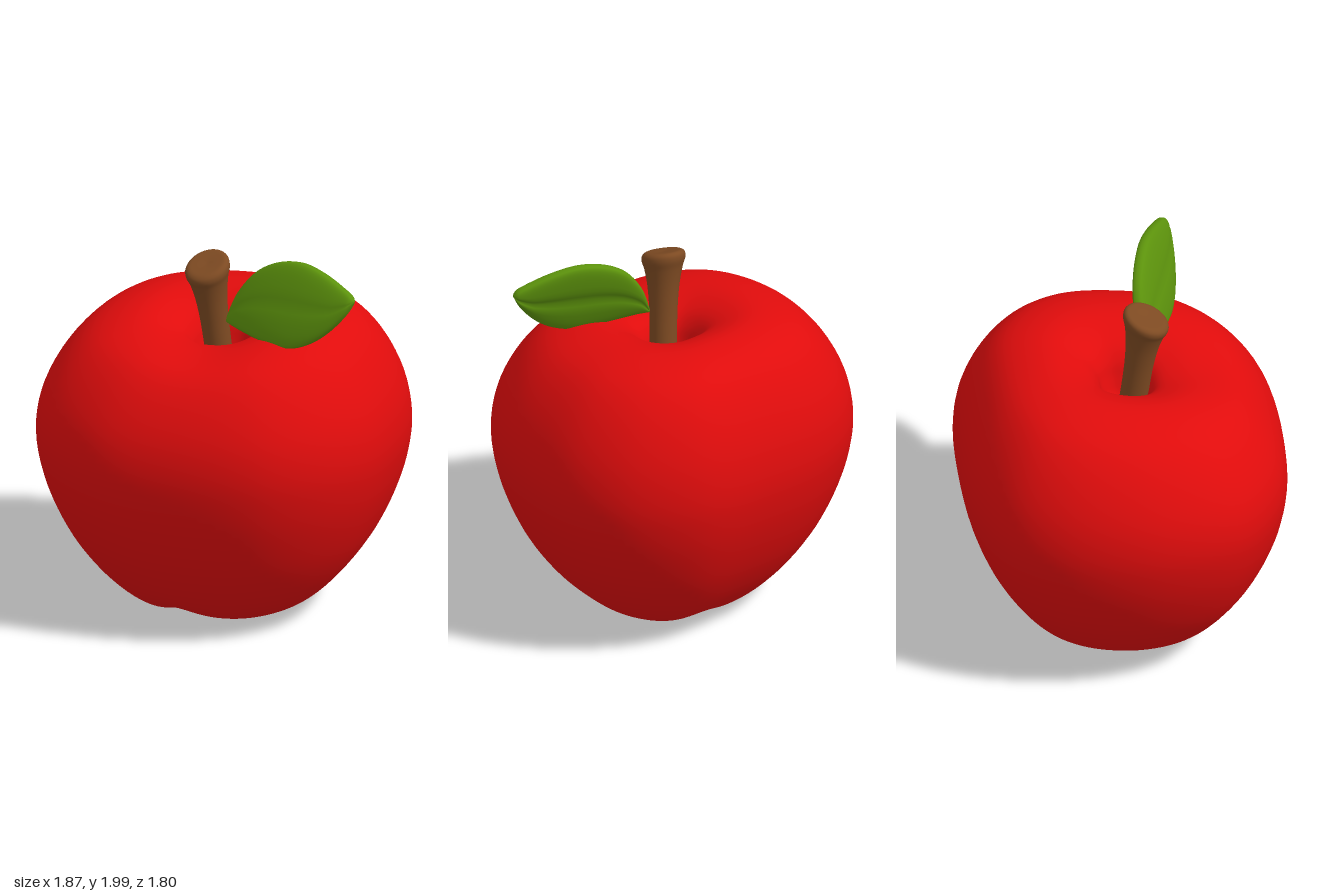
import * as THREE from 'three';
import { mergeVertices } from 'three/addons/utils/BufferGeometryUtils.js';

const red = new THREE.MeshStandardMaterial({ name: 'apple red', color: 0xe00c0c });
const brown = new THREE.MeshStandardMaterial({ name: 'stem brown', color: 0x7d4a22 });
const green = new THREE.MeshStandardMaterial({ name: 'leaf green', color: 0x5c920c });

// Smooth skin over closed cross-sections: point(u, v) with v running round the loop
function loft(rows, cols, point) {
  const pos = [], index = [];
  for (let i = 0; i <= rows; i++) {
    for (let j = 0; j < cols; j++) pos.push(...point(i / rows, j / cols));
  }
  for (let i = 0; i < rows; i++) {
    for (let j = 0; j < cols; j++) {
      const a = i * cols + j, b = i * cols + (j + 1) % cols;
      index.push(a, a + cols, b, b, a + cols, b + cols);
    }
  }
  const geo = new THREE.BufferGeometry();
  geo.setAttribute('position', new THREE.Float32BufferAttribute(pos, 3));
  geo.setIndex(index);
  const merged = mergeVertices(geo, 1e-5);
  merged.computeVertexNormals();
  return merged;
}

const spline = (pts, closed = false) => new THREE.CatmullRomCurve3(
  pts.map(([x, y, z = 0]) => new THREE.Vector3(x, y, z)), closed);

// Fruit: a lopsided outline scaled up a profile, then tilted and dented
function bodyGeometry() {
  const outline = spline([
    [0.93, 0, 0.04], [0.85, 0, 0.35], [0.65, 0, 0.605], [0.22, 0, 0.815], [-0.2, 0, 0.9],
    [-0.6, 0, 0.77], [-0.85, 0, 0.43], [-0.935, 0, -0.02], [-0.85, 0, -0.36], [-0.6, 0, -0.62],
    [-0.2, 0, -0.81], [0.17, 0, -0.9], [0.51, 0, -0.81], [0.75, 0, -0.59], [0.88, 0, -0.28],
  ], true);
  const profile = spline([
    [0, 0.022], [0.1, 0.014], [0.22, 0.008], [0.34, 0.032], [0.46, 0.09], [0.59, 0.2],
    [0.74, 0.4], [0.84, 0.6], [0.905, 0.8], [0.93, 1], [0.896, 1.2], [0.793, 1.4],
    [0.67, 1.53], [0.53, 1.595], [0.39, 1.615], [0.28, 1.59], [0.2, 1.545], [0.15, 1.48],
    [0.12, 1.4], [0.08, 1.32], [0, 1.29],
  ]);
  return loft(90, 96, (u, v) => {
    const p = profile.getPoint(u), o = outline.getPoint(v);
    const f = p.x / 0.93, x = o.x * f, z = o.z * f;
    const top = THREE.MathUtils.smoothstep(p.y, 0.9, 1.6);
    const low = 1 - THREE.MathUtils.smoothstep(p.y, 0, 0.2);
    const dip = 0.07 * Math.exp(-(((x - 0.1) / 0.3) ** 2) - ((z - 0.33) / 0.28) ** 2);
    const notch = 0.035 * Math.exp(-((x / 0.1) ** 2));
    const hollow = 0.035 * top * Math.exp(-((p.x / 0.22) ** 2));
    return [x, Math.max(0, p.y - top * (0.06 * z + dip) + low * notch),
      z * (1 + 0.04 * low) + hollow];
  });
}

// Stem: flared rod leaning forward, with a slanted, rounded end
function stemGeometry() {
  const radius = spline([
    [0.07, 1.25], [0.07, 1.5], [0.073, 1.62], [0.083, 1.74], [0.099, 1.83], [0.112, 1.875],
    [0.109, 1.9], [0.094, 1.914], [0.06, 1.916], [0, 1.912],
  ]);
  return loft(54, 32, (u, v) => {
    const { x: r, y } = radius.getPoint(u);
    const a = v * Math.PI * 2, h = (y - 1.3) / 0.62;
    const dx = Math.cos(a) * r, dz = Math.sin(a) * r * 1.04;
    return [0.022 - 0.032 * h + dx, y - 0.4 * h * h * dz, 0.06 + 0.085 * h + dz];
  });
}

// Leaf: plump blade between an upper and a lower edge, creased along the midrib
function leafGeometry() {
  const upper = spline([
    [0.08, 1.61], [0.14, 1.77], [0.24, 1.9], [0.36, 1.97], [0.5, 1.998], [0.64, 1.977],
    [0.76, 1.937], [0.83, 1.905], [0.85, 1.88],
  ]);
  const lower = spline([
    [0.08, 1.6], [0.14, 1.595], [0.25, 1.58], [0.37, 1.568], [0.5, 1.568], [0.62, 1.613],
    [0.72, 1.69], [0.81, 1.8], [0.85, 1.875],
  ]);
  return loft(48, 40, (u, v) => {
    const a = v * Math.PI * 2, s = -Math.cos(a), side = Math.sin(a);
    const p = lower.getPoint(u).lerp(upper.getPoint(u), (s + 1) / 2);
    const crease = 1 - (side > 0 ? 0.12 : 0.35) * Math.exp(-((s / 0.15) ** 2));
    const taper = Math.pow(Math.max(0, Math.sin(Math.PI * u)), 0.5);
    const t = 0.048 * taper * crease * Math.sign(side) * Math.pow(Math.abs(side), 0.6);
    const z = 0.15 - 0.32 * (p.y - 1.6) - 0.03 * u - 0.05 * (1 - u) ** 4;
    return [p.x, p.y + 0.2 * t, z + t];
  });
}

export function createModel() {
  const group = new THREE.Group();
  group.name = 'apple';
  const parts = [
    ['fruit', bodyGeometry(), red],
    ['stem', stemGeometry(), brown],
    ['leaf', leafGeometry(), green],
  ];
  for (const [name, geo, material] of parts) {
    const mesh = new THREE.Mesh(geo, material);
    mesh.name = name;
    group.add(mesh);
  }
  return group;
}
